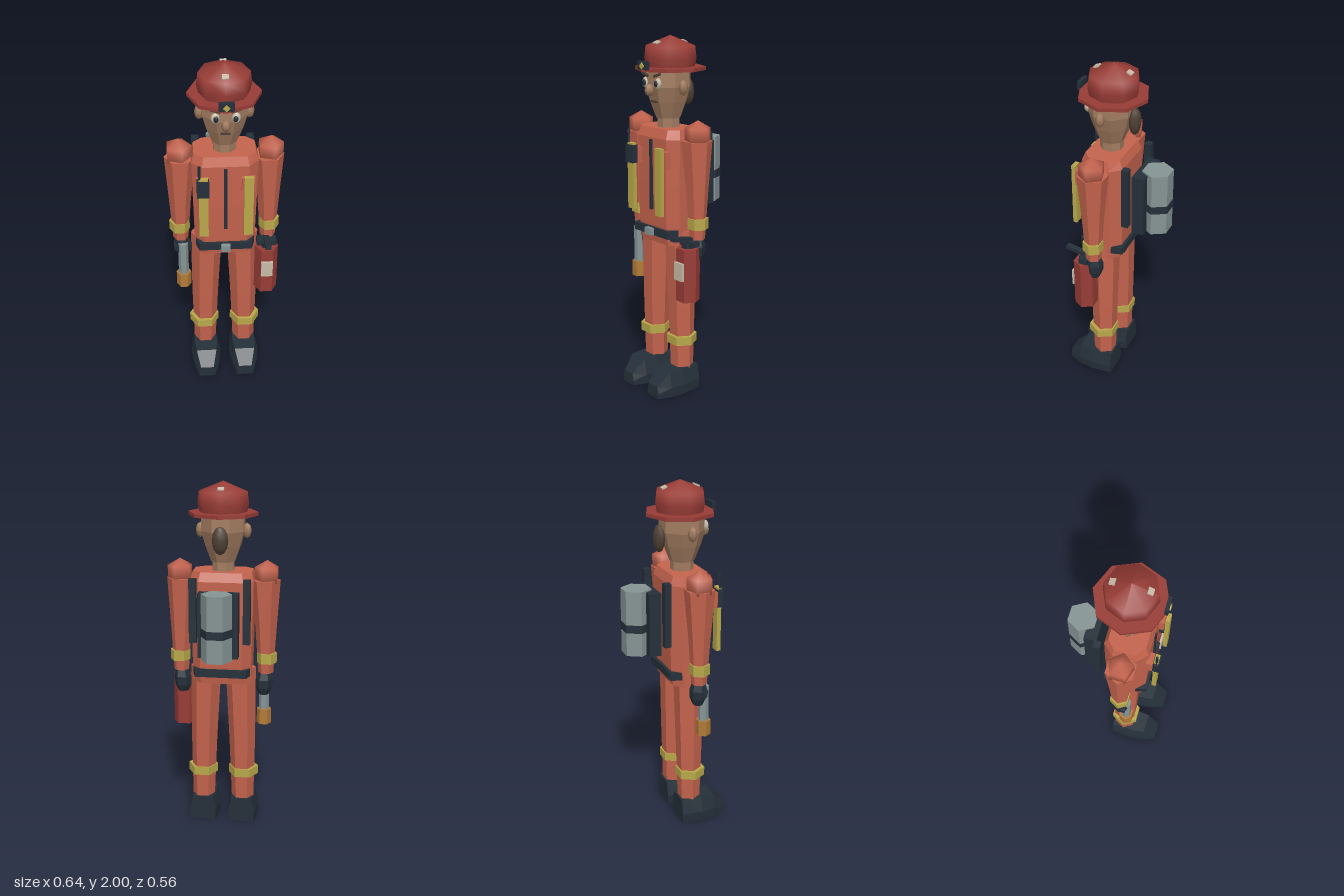
import * as THREE from 'three';

export function createModel() {
  const model = new THREE.Group();
  model.name = 'firefighter';
  const mat = (name, color) => {
    const m = new THREE.MeshStandardMaterial({ color });
    m.name = name;
    return m;
  };
  const suit = mat('suit orange', 0xc4634d), red = mat('helmet red', 0x983c36);
  const skin = mat('skin', 0xa27c60), navy = mat('dark navy', 0x25303a);
  const yellow = mat('reflective yellow', 0xb8a84a), gray = mat('steel gray', 0x869494);
  const cream = mat('cream', 0xc8bca8), hair = mat('hair brown', 0x4e4034);
  const bronze = mat('bronze', 0xb27a38);
  const Z = 0.067; // body centre line in depth

  function add(name, geo, material, x = 0, y = 0, z = 0) {
    const mesh = new THREE.Mesh(geo, material);
    mesh.name = name;
    mesh.position.set(x, y, z);
    model.add(mesh);
    return mesh;
  }
  const box = (name, m, w, h, d, x, y, z) => add(name, new THREE.BoxGeometry(w, h, d), m, x, y, z);
  function ball(name, m, rx, ry, rz, x, y, z, ws = 8, hs = 6) {
    const s = add(name, new THREE.SphereGeometry(1, ws, hs), m, x, y, z);
    s.scale.set(rx, ry, rz);
    return s;
  }

  // Faceted skin over a series of rings, closed at both ends
  function loft(name, m, rings) {
    const pos = [], n = rings[0].length;
    const tri = (a, b, c) => pos.push(...a, ...b, ...c);
    for (let k = 0; k < rings.length - 1; k++) {
      const a = rings[k], b = rings[k + 1];
      for (let i = 0; i < n; i++) {
        const j = (i + 1) % n;
        tri(a[i], a[j], b[j]);
        tri(a[i], b[j], b[i]);
      }
    }
    const lo = rings[0], hi = rings[rings.length - 1];
    for (let i = 1; i < n - 1; i++) {
      tri(lo[0], lo[i + 1], lo[i]);
      tri(hi[0], hi[i], hi[i + 1]);
    }
    const g = new THREE.BufferGeometry();
    g.setAttribute('position', new THREE.Float32BufferAttribute(pos, 3));
    g.computeVertexNormals();
    return add(name, g, m);
  }
  const ngon = (n, x, y, z, r, turn = 0) => Array.from({ length: n }, (_, i) => {
    const a = turn + i / n * Math.PI * 2;
    return [x + r * Math.cos(a), y, z - r * Math.sin(a)];
  });
  const hex = (x, y, z, r) => ngon(6, x, y, z, r);
  const prism = (name, m, x, z, r, y0, y1, n = 6) =>
    loft(name, m, [ngon(n, x, y0, z, r), ngon(n, x, y1, z, r)]);
  // Rectangle with cut corners
  const slab = (y, hx, hz, fx = 0.7, fz = 0.55) =>
    [[1, -fz], [fx, -1], [-fx, -1], [-1, -fz], [-1, fz], [-fx, 1], [fx, 1], [1, fz]]
      .map(([u, v]) => [u * hx, y, Z + v * hz]);

  // Jacket, belt and chest details
  loft('jacket', suit, [slab(0.87, 0.165, 0.1), slab(0.97, 0.167, 0.113),
    slab(1.2, 0.172, 0.119), slab(1.46, 0.178, 0.12), slab(1.51, 0.165, 0.1)]);
  loft('belt', navy, [slab(0.915, 0.162, 0.128, 0.9), slab(0.96, 0.162, 0.128, 0.9)]);
  box('buckle', gray, 0.05, 0.04, 0.03, 0, 0.937, 0.205);
  box('zipper', navy, 0.018, 0.39, 0.012, 0, 1.255, 0.19);
  for (const s of [-1, 1]) {
    box('chestPocket', suit, 0.07, 0.09, 0.036, s * 0.12, 1.355, 0.197);
    box('reflectiveStrip', yellow, 0.05, 0.37, 0.024, s * 0.12, 1.235, 0.23);
  }
  box('radio', navy, 0.065, 0.1, 0.035, -0.122, 1.36, 0.232);
  prism('radioAntenna', navy, -0.141, 0.233, 0.007, 1.4, 1.5, 4);

  for (const s of [-1, 1]) {
    // Arm
    loft('arm', suit, [hex(s * 0.245, 0.92, Z, 0.043), hex(s * 0.243, 1.18, Z, 0.06),
      hex(s * 0.236, 1.46, Z, 0.085)]);
    ball('shoulder', suit, 0.083, 0.083, 0.083, s * 0.245, 1.487, Z, 5, 3).rotation.y = Math.PI;
    prism('armBand', yellow, s * 0.25, Z, 0.057, 0.98, 1.04);
    loft('glove', navy, [hex(s * 0.235, 0.79, Z, 0.03), hex(s * 0.235, 0.83, Z, 0.048),
      hex(s * 0.238, 0.88, Z, 0.05), hex(s * 0.24, 0.925, Z, 0.036)]);
    // Leg and boot
    loft('leg', suit, [hex(s * 0.117, 0.1, Z, 0.064), hex(s * 0.112, 0.51, Z, 0.076),
      hex(s * 0.1, 0.95, Z, 0.088)]);
    prism('legBand', yellow, s * 0.12, 0.072, 0.086, 0.285, 0.335);
    loft('boot', navy, [[0, 0.078, 0.145], [0.12, 0.09, 0.145], [0.205, 0.078, 0.143], [0.28, 0.05, 0.07]]
      .map(([z, w, h]) => [[0.95, 0], [1, 0.4], [0.76, 1], [-0.76, 1], [-1, 0.4], [-0.95, 0]]
        .map(([u, v]) => [s * 0.115 + u * w, v * h, z])));
    // Pack straps and rear belt pouch
    box('packStrap', navy, 0.04, 0.36, 0.038, s * 0.15, 1.305, -0.084);
    box('beltPouch', navy, 0.035, 0.04, 0.03, s * 0.11, 0.937, -0.05);
  }

  // Air pack
  box('packPlate', navy, 0.222, 0.36, 0.07, 0, 1.24, -0.135);
  prism('airTank', gray, 0, -0.204, 0.085, 1.06, 1.43);
  prism('tankBand', navy, 0, -0.204, 0.089, 1.195, 1.24);

  // Neck and head
  const oct = (y, r) => ngon(8, 0, y, Z, r, Math.PI / 8);
  loft('neck', skin, [oct(1.48, 0.064), oct(1.6, 0.064)]);
  loft('head', skin, [oct(1.56, 0.07), oct(1.65, 0.104), oct(1.73, 0.127), oct(1.825, 0.125)]);
  ball('nose', skin, 0.024, 0.034, 0.03, 0, 1.715, 0.197, 6, 4);
  box('mouth', hair, 0.052, 0.012, 0.01, 0, 1.652, 0.166);
  ball('hairBun', hair, 0.045, 0.077, 0.032, 0, 1.692, -0.068);
  for (const s of [-1, 1]) {
    ball('ear', skin, 0.026, 0.043, 0.025, s * 0.13, 1.73, 0.072, 6, 4);
    ball('eye', cream, 0.024, 0.03, 0.015, s * 0.053, 1.752, 0.181);
    ball('iris', navy, 0.013, 0.018, 0.008, s * 0.05, 1.752, 0.194);
    const brow = box('eyebrow', hair, 0.055, 0.012, 0.012, s * 0.052, 1.797, 0.187);
    brow.rotation.z = s * 0.3;
  }

  // Helmet
  const hatZ = 0.054;
  const dome = [[0.13, 1.82], [0.142, 1.88], [0.134, 1.945], [0, 2]];
  add('helmetDome', new THREE.LatheGeometry(dome.map(p => new THREE.Vector2(...p)), 8), red, 0, 0, hatZ);
  prism('helmetBrim', red, 0, hatZ, 0.193, 1.815, 1.835, 8);
  for (const s of [-1, 1]) {
    const patch = box('helmetPatch', cream, 0.034, 0.009, 0.03, 0, 1.964, hatZ + s * 0.093);
    patch.rotation.x = s * 0.387;
  }
  box('helmetBadge', navy, 0.08, 0.046, 0.02, 0, 1.848, 0.236);
  box('badgeEmblem', yellow, 0.026, 0.026, 0.009, 0, 1.845, 0.248).rotation.z = Math.PI / 4;

  // Extinguisher in the left hand
  prism('extinguisher', red, 0.235, 0.125, 0.066, 0.58, 0.88);
  box('extinguisherLabel', cream, 0.066, 0.1, 0.02, 0.235, 0.755, 0.186);
  prism('extinguisherValve', navy, 0.235, 0.125, 0.035, 0.87, 0.91);
  box('extinguisherHandle', navy, 0.11, 0.032, 0.05, 0.235, 0.905, 0.115);
  box('extinguisherLever', navy, 0.032, 0.022, 0.16, 0.235, 0.932, 0.157).rotation.x = -0.15;

  // Hose nozzle in the right hand
  prism('nozzleTube', gray, -0.235, 0.1, 0.029, 0.68, 0.9);
  prism('nozzleTip', bronze, -0.235, 0.1, 0.042, 0.6, 0.69);
  box('nozzleGrip', navy, 0.1, 0.035, 0.035, -0.235, 0.865, 0.085);

  return model;
}
